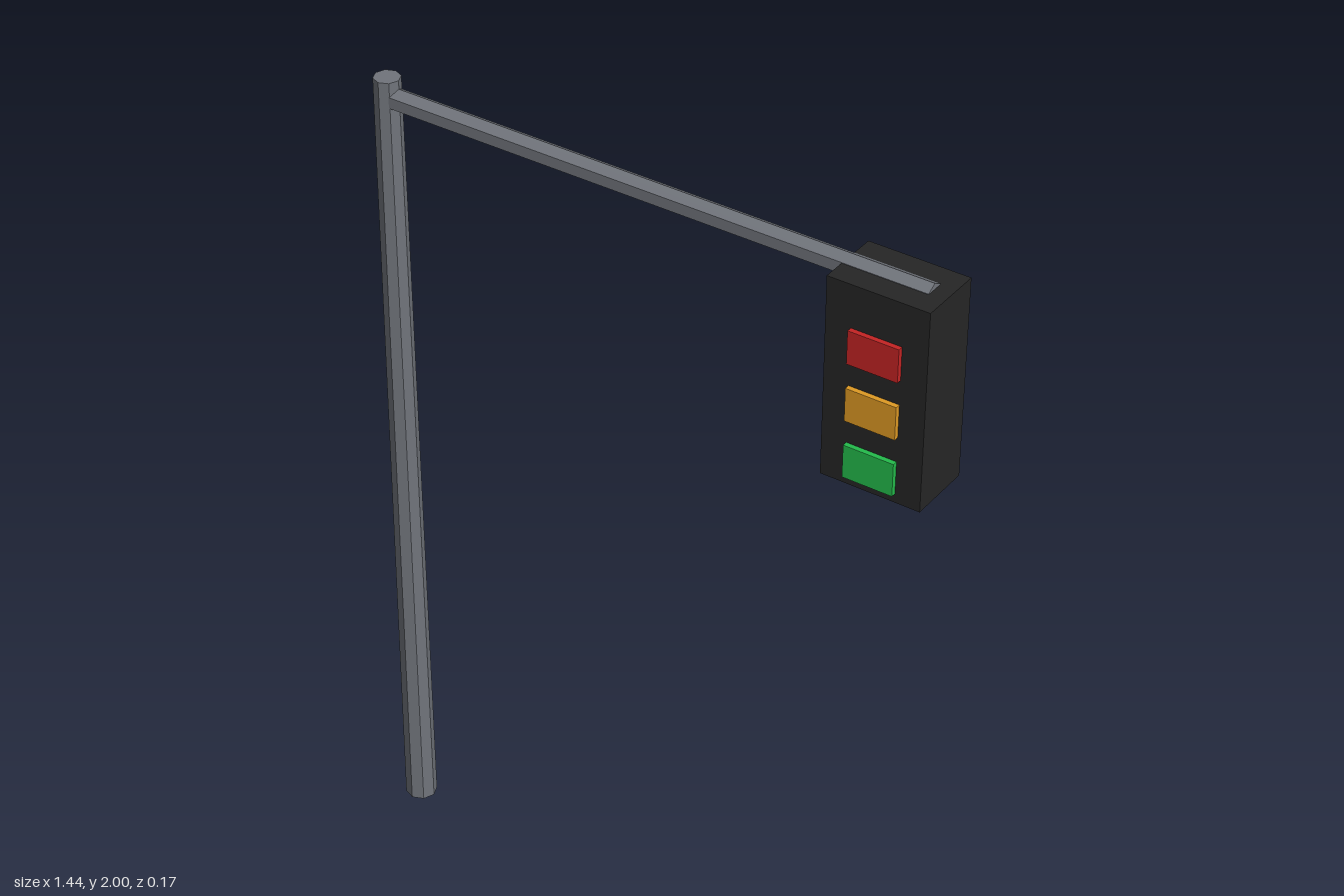
import * as THREE from 'three';

const Z = -0.007; // depth of the pole, arm and housing centre line

function material(name, color, extra = {}) {
  const m = new THREE.MeshStandardMaterial({ color, flatShading: true, ...extra });
  m.name = name;
  return m;
}

export function createModel() {
  const model = new THREE.Group();
  model.name = 'trafficLight';

  const steel = material('steel grey', 0x70747b);
  const black = material('housing black', 0x262626, { side: THREE.DoubleSide });

  function add(name, geometry, mat, x, y, z) {
    const mesh = new THREE.Mesh(geometry, mat);
    mesh.name = name;
    mesh.position.set(x, y, z);
    model.add(mesh);
  }

  // Slightly tapered octagonal pole
  add('pole', new THREE.CylinderGeometry(0.031, 0.038, 2, 8), steel, -0.682, 1, Z);

  // Hexagonal arm with ridges along its top and bottom
  const arm = new THREE.CylinderGeometry(0.0265, 0.0265, 1.36, 6);
  arm.rotateY(Math.PI / 6).rotateZ(Math.PI / 2);
  add('arm', arm, steel, 0, 1.953, Z);

  // Housing: a box shell left open underneath
  const shell = new THREE.BoxGeometry(0.24, 0.483, 0.156);
  const faces = Array.from(shell.index.array);
  faces.splice(18, 6); // bottom face
  shell.setIndex(faces);
  shell.clearGroups();
  add('housing', shell, black, 0.598, 1.7235, Z);

  // Lamps set through the front wall
  const lamps = [
    ['redLamp', 'red', 0xc42424, 1.823],
    ['amberLamp', 'amber', 0xdf9a24, 1.684],
    ['greenLamp', 'green', 0x24bb4b, 1.544],
  ];
  for (const [name, colorName, color, y] of lamps) {
    add(name, new THREE.BoxGeometry(0.12, 0.08, 0.024), material(colorName, color), 0.598, y, 0.071);
  }

  return model;
}
